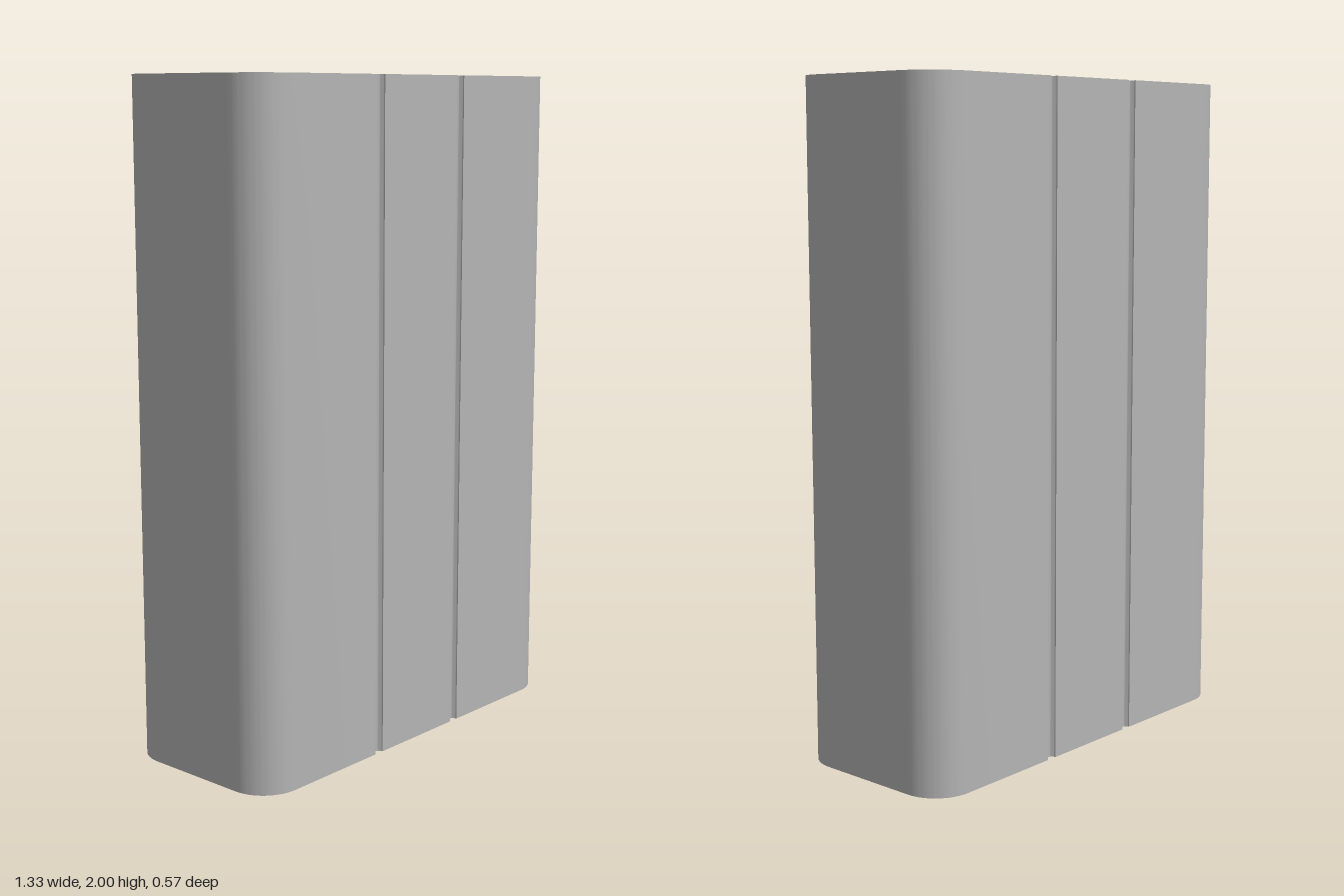
import * as THREE from 'three';
import { toCreasedNormals } from 'three/addons/utils/BufferGeometryUtils.js';

const HEIGHT = 2;
const W = 0.666, D = 0.284, R = 0.12;   // outer half sizes and corner radius
const IW = 0.638, ID = 0.257, IR = 0.095; // inner half sizes and corner radius
const DIVIDER = 0.18, HALF = 0.0165;    // divider centre and half thickness
const FILLET = 0.014;

// Outer outline with a round groove in line with each divider, front and back
function outerShape() {
  const s = new THREE.Shape();
  s.moveTo(-W + R, -D);
  for (const x of [-DIVIDER, DIVIDER]) {
    s.lineTo(x - HALF, -D);
    s.absarc(x, -D, HALF, Math.PI, 0, true);
  }
  s.absarc(W - R, -D + R, R, -Math.PI / 2, 0, false);
  s.absarc(W - R, D - R, R, 0, Math.PI / 2, false);
  for (const x of [DIVIDER, -DIVIDER]) {
    s.lineTo(x + HALF, D);
    s.absarc(x, D, HALF, 0, Math.PI, true);
  }
  s.absarc(-W + R, D - R, R, Math.PI / 2, Math.PI, false);
  s.absarc(-W + R, -D + R, R, Math.PI, Math.PI * 1.5, false);
  s.closePath();
  return s;
}

// Rounded chamber opening; the left and right corners have their own radii
function chamber(x0, x1, r0, r1, notched = false) {
  const p = new THREE.Path();
  p.moveTo(x0 + r0, -ID);
  p.absarc(x1 - r1, -ID + r1, r1, -Math.PI / 2, 0, false);
  if (notched) {
    // small V-shaped key slot in the divider
    p.lineTo(x1, 0.153);
    p.lineTo(x1 + 0.013, 0.162);
    p.lineTo(x1, 0.171);
  }
  p.absarc(x1 - r1, ID - r1, r1, 0, Math.PI / 2, false);
  p.absarc(x0 + r0, ID - r0, r0, Math.PI / 2, Math.PI, false);
  p.absarc(x0 + r0, -ID + r0, r0, Math.PI, Math.PI * 1.5, false);
  p.closePath();
  return p;
}

export function createModel() {
  const group = new THREE.Group();
  group.name = 'threeChamberProfile';
  const grey = new THREE.MeshStandardMaterial({ color: 0xb4b4b4 });
  grey.name = 'grey';

  const section = outerShape();
  const inner = DIVIDER - HALF, outer = DIVIDER + HALF;
  section.holes.push(
    chamber(-IW, -outer, IR, FILLET, true),
    chamber(-inner, inner, FILLET, FILLET),
    chamber(outer, IW, FILLET, IR),
  );

  // Extruded upright tube, open at both ends
  let geometry = new THREE.ExtrudeGeometry(section, { depth: HEIGHT, bevelEnabled: false, curveSegments: 12 });
  geometry.rotateX(-Math.PI / 2);
  geometry = toCreasedNormals(geometry, Math.PI / 6);
  const tube = new THREE.Mesh(geometry, grey);
  tube.name = 'dividedTube';
  group.add(tube);
  return group;
}
